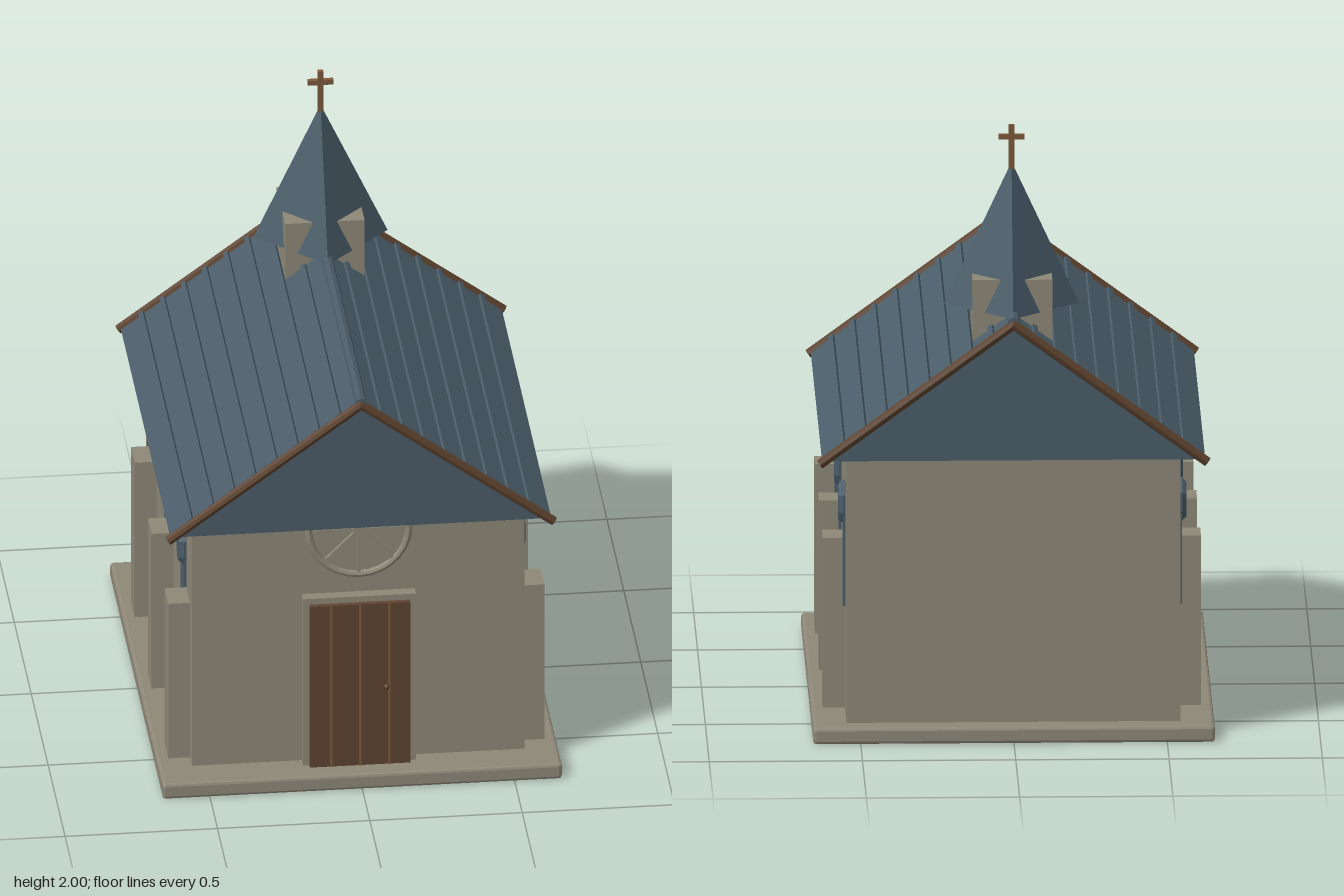
import * as THREE from 'three';
import { RoundedBoxGeometry } from 'three/addons/geometries/RoundedBoxGeometry.js';

const material = (name, color) => {
  const m = new THREE.MeshStandardMaterial({ color, flatShading: true });
  m.name = name;
  return m;
};

export function createModel() {
  const stone = material('stone', 0x8e8878);
  const slate = material('slate', 0x4b5d69);
  const doorWood = material('door wood', 0x5f4432);
  const trimWood = material('trim wood', 0x5c412c);
  const paleWood = material('pale wood', 0x7d5a3c);

  const model = new THREE.Group();
  model.name = 'chapel';

  const add = (name, geometry, mat, x = 0, y = 0, z = 0, parent = model) => {
    const mesh = new THREE.Mesh(geometry, mat);
    mesh.name = name;
    mesh.position.set(x, y, z);
    parent.add(mesh);
    return mesh;
  };
  // Box given by its low and high corners
  const block = (name, mat, [x0, y0, z0], [x1, y1, z1], parent = model) =>
    add(name, new THREE.BoxGeometry(x1 - x0, y1 - y0, z1 - z0), mat,
      (x0 + x1) / 2, (y0 + y1) / 2, (z0 + z1) / 2, parent);

  // Plinth and walls
  add('plinth', new RoundedBoxGeometry(1.31, 0.055, 1.565, 1, 0.01), stone, 0, 0.0275, 0);
  block('walls', stone, [-0.545, 0.05, -0.71], [0.545, 0.95, 0.66]);

  // Solid gabled roof
  const eaveX = 0.625, eaveY = 0.94, apexY = 1.4;
  const slope = Math.atan2(apexY - eaveY, eaveX);
  const gable = new THREE.Shape([
    new THREE.Vector2(-eaveX, eaveY), new THREE.Vector2(eaveX, eaveY), new THREE.Vector2(0, apexY),
  ]);
  add('roof', new THREE.ExtrudeGeometry(gable, { depth: 1.466, bevelEnabled: false }), slate, 0, 0, -0.733);
  const ridge = add('ridgeCap', new THREE.CylinderGeometry(0.02, 0.02, 1.49, 8), slate, 0, 1.403, 0);
  ridge.rotation.x = Math.PI / 2;

  // Roof battens and gable trim on both slopes
  const batten = new THREE.BoxGeometry(0.018, 0.018, 1.456);
  const trimLength = 0.79;
  const trim = new THREE.CylinderGeometry(0.016, 0.016, trimLength, 8);
  for (const side of [-1, 1]) {
    for (let i = 1; i <= 8; i++) {
      const x = i * 0.0695;
      const b = add('roofBatten', batten, slate, side * x, apexY - x * Math.tan(slope) + 0.002, 0);
      b.rotation.z = -side * slope;
    }
    for (const z of [-0.741, 0.741]) {
      const t = add('gableTrim', trim, trimWood,
        side * 0.314, apexY - 0.314 * Math.tan(slope) - 0.002, z);
      t.rotation.z = side * (Math.PI / 2 - slope);
    }
  }

  // Bell turret, spire and cross
  const turretZ = -0.457;
  block('turret', stone, [-0.13, 1.2, turretZ - 0.13], [0.13, 1.51, turretZ + 0.13]);
  add('spire', new THREE.ConeGeometry(0.22, 0.475, 4), slate, 0, 1.6375, turretZ);
  block('crossUpright', paleWood, [-0.009, 1.85, turretZ - 0.008], [0.009, 2, turretZ + 0.008]);
  block('crossArm', paleWood, [-0.042, 1.951, turretZ - 0.008], [0.042, 1.968, turretZ + 0.008]);

  // Door in its stone surround
  const door = new THREE.Group();
  door.name = 'door';
  model.add(door);
  block('doorSurround', stone, [-0.185, 0.05, 0.65], [0.185, 0.668, 0.698], door);
  block('doorLeaf', doorWood, [-0.165, 0.055, 0.69], [0.165, 0.647, 0.715], door);
  for (const x of [-0.095, 0, 0.095]) {
    block('doorStrip', paleWood, [x - 0.004, 0.055, 0.713], [x + 0.004, 0.645, 0.719], door);
  }
  add('doorKnob', new THREE.SphereGeometry(0.01, 8, 6), trimWood, 0.085, 0.345, 0.728, door);

  // Round window: ring, hub and spokes
  const rose = new THREE.Group();
  rose.name = 'roundWindow';
  rose.position.set(0, 0.906, 0.678);
  model.add(rose);
  add('windowRing', new THREE.TorusGeometry(0.164, 0.012, 8, 28), stone, 0, 0, 0, rose);
  const hub = add('windowHub', new THREE.CylinderGeometry(0.02, 0.02, 0.02, 10), stone, 0, 0, 0, rose);
  hub.rotation.x = Math.PI / 2;
  for (let i = 0; i < 4; i++) {
    const bar = add('windowSpokes', new THREE.BoxGeometry(0.012, 0.32, 0.012), stone, 0, 0, 0, rose);
    bar.rotation.z = i * Math.PI / 4;
  }

  // Faceted pointed head above each side window, in its own plane
  const half = [[0.042, 0.028], [0.04, -0.026], [0.024, -0.05]];
  const outline = [[0, 0.059], ...half, [0, -0.058],
    ...half.map(([x, y]) => [-x, y]).reverse()].reverse();
  const head = new THREE.ExtrudeGeometry(
    new THREE.Shape(outline.map(([x, y]) => new THREE.Vector2(x, y))),
    { depth: 0.008, bevelThickness: 0.014, bevelSize: 0.012, bevelSegments: 1 });

  // Buttresses and windows along both side walls
  for (const side of [-1, 1]) {
    for (const z of [0.545, 0.055, -0.445]) {
      add('buttress', new THREE.BoxGeometry(0.09, 0.575, 0.11), stone, side * 0.572, 0.3375, z);
    }
    for (const z of [0.44, -0.05, -0.55]) {
      add('sideWindow', new THREE.BoxGeometry(0.02, 0.36, 0.098), slate, side * 0.543, 0.6, z);
      const h = add('windowHead', head, slate, side * 0.546, 0.76, z);
      h.rotation.y = side * Math.PI / 2;
    }
  }
  return model;
}
